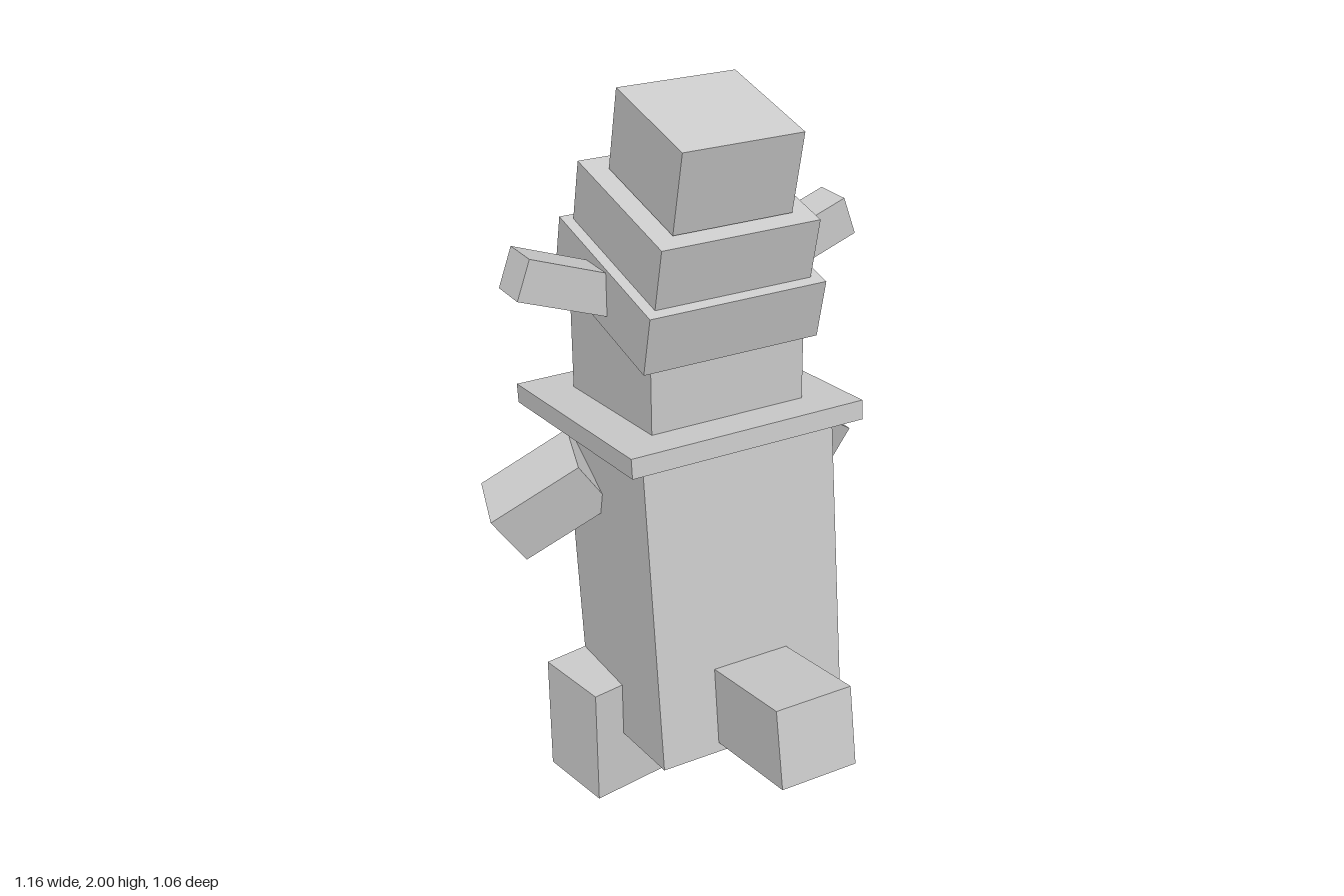
import * as THREE from 'three';

const material = new THREE.MeshStandardMaterial({ color: 0xcccccc, flatShading: true });

// One block: size, centre and rotation (degrees)
function block(name, size, position, rotation = [0, 0, 0]) {
  const mesh = new THREE.Mesh(new THREE.BoxGeometry(...size), material);
  mesh.name = name;
  mesh.position.set(...position);
  mesh.rotation.set(...rotation.map(THREE.MathUtils.degToRad));
  return mesh;
}

// A block on the left (+x) and its mirror image on the right
function pair(name, size, [x, y, z], [rx, ry, rz]) {
  return [
    block(name + 'Left', size, [x, y, z], [rx, ry, rz]),
    block(name + 'Right', size, [-x, y, z], [rx, -ry, -rz]),
  ];
}

export function createModel() {
  const model = new THREE.Group();
  model.name = 'blockCreature';

  // Body leaning back, with a flat collar and an upright neck
  model.add(
    block('body', [0.58, 0.92, 0.46], [0, 0.645, -0.075], [-5.8, 0, 0]),
    block('collar', [0.7, 0.055, 0.695], [0, 1.107, -0.18], [-5.2, 0, 0]),
    block('neck', [0.46, 0.4, 0.46], [0, 1.28, -0.18])
  );

  // Stacked head blocks, tipped forward
  model.add(
    block('headLower', [0.52, 0.17, 0.515], [0, 1.48, -0.162], [13.2, 0, 0]),
    block('headMiddle', [0.46, 0.173, 0.462], [0, 1.649, -0.126], [13.2, 0, 0]),
    block('headTop', [0.347, 0.23, 0.347], [0, 1.847, -0.07], [13.2, 0, 0])
  );

  // Block sticking out in front, low on the body
  model.add(block('frontBlock', [0.231, 0.23, 0.4], [0, 0.374, 0.313], [-9.2, 0, 0]));

  // Ears, arms and legs
  model.add(
    ...pair('ear', [0.35, 0.113, 0.112], [0.325, 1.513, -0.184], [0, 0, 20]),
    ...pair('arm', [0.285, 0.175, 0.173], [0.397, 0.887, -0.257], [12.1, 15.4, -36.3]),
    ...pair('leg', [0.231, 0.35, 0.231], [0.287, 0.175, -0.16], [0, -9.5, 0])
  );

  return model;
}
